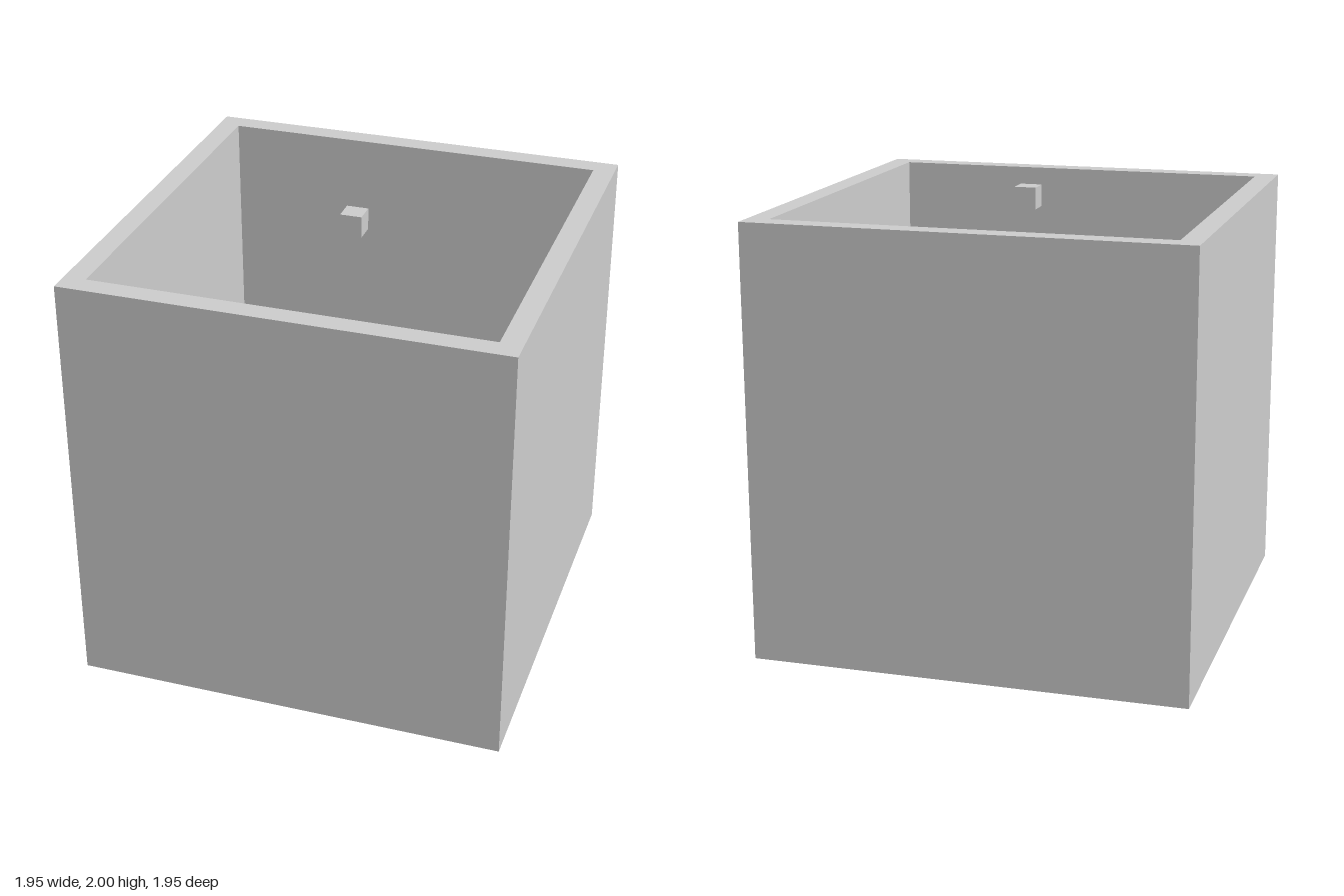
import * as THREE from 'three';

const UNIT = 2 / 20.5;      // wall thickness and cube edge
const SIZE = 20 * UNIT;     // outer edge of the container

// Square outline centred on the origin
function square(PathType, size) {
  const h = size / 2;
  return new PathType([
    new THREE.Vector2(-h, -h),
    new THREE.Vector2(h, -h),
    new THREE.Vector2(h, h),
    new THREE.Vector2(-h, h),
  ]);
}

export function createModel() {
  const model = new THREE.Group();
  model.name = 'openBox';
  const material = new THREE.MeshStandardMaterial({ color: 0xcccccc });

  const add = (name, geometry, y) => {
    const mesh = new THREE.Mesh(geometry, material);
    mesh.name = name;
    mesh.position.y = y;
    model.add(mesh);
  };

  // Four walls: a hollow square extruded upwards
  const outline = square(THREE.Shape, SIZE);
  outline.holes.push(square(THREE.Path, SIZE - 2 * UNIT));
  const walls = new THREE.ExtrudeGeometry(outline, { depth: SIZE, bevelEnabled: false });
  walls.rotateX(-Math.PI / 2);
  add('walls', walls, 0);

  // Floor slab filling the space between the walls
  const inner = SIZE - 2 * UNIT;
  add('floor', new THREE.BoxGeometry(inner, UNIT, inner), UNIT / 2);

  // Small cube floating at the centre of the opening
  add('floatingCube', new THREE.BoxGeometry(UNIT, UNIT, UNIT), SIZE);

  return model;
}
